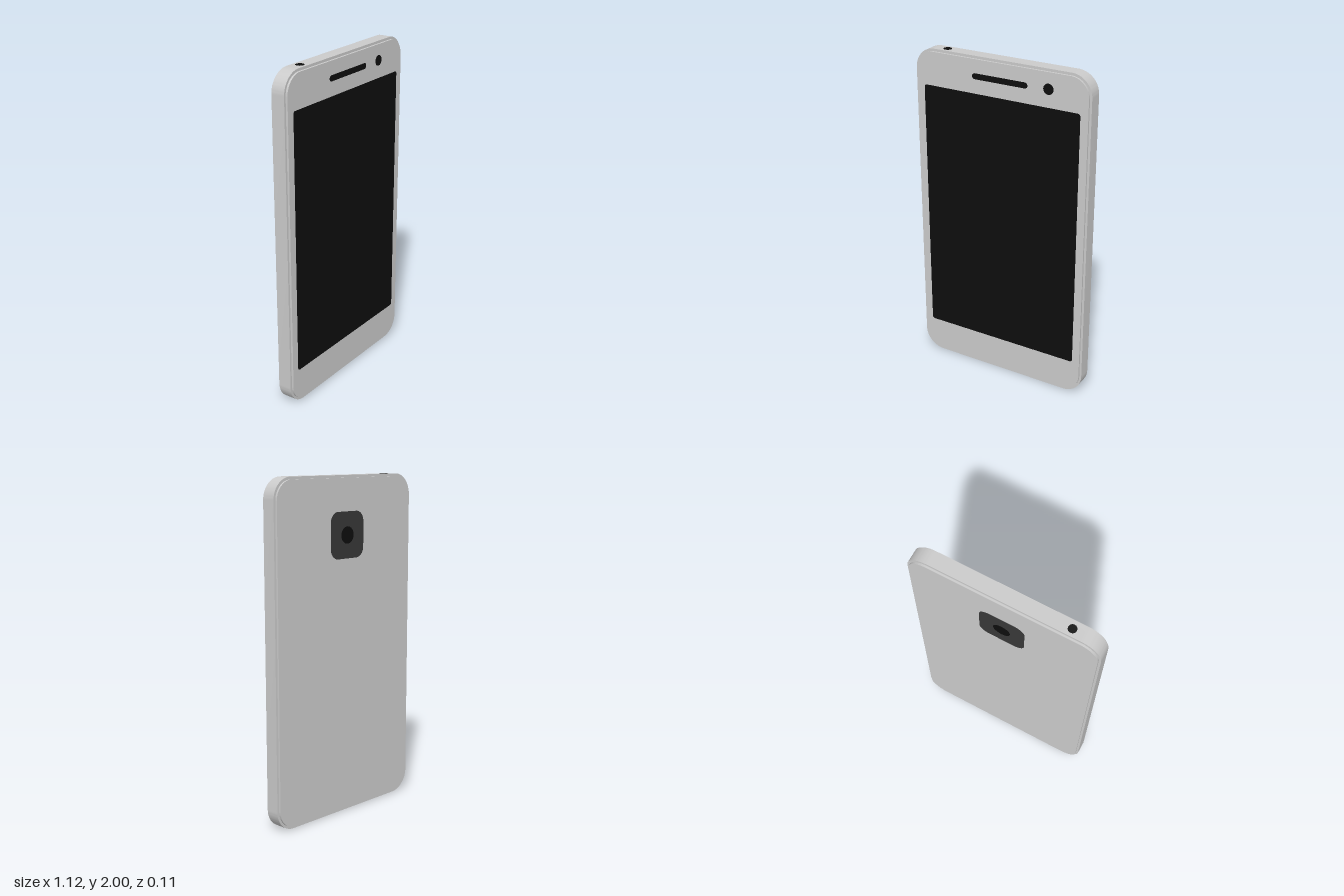
import * as THREE from 'three';
import { toCreasedNormals } from 'three/addons/utils/BufferGeometryUtils.js';

const material = (name, color) => {
  const m = new THREE.MeshStandardMaterial({ color });
  m.name = name;
  return m;
};

// Rounded rectangle centred on the origin
function roundedRect(w, h, r) {
  const s = new THREE.Shape(), x = w / 2 - r, y = h / 2 - r;
  s.absarc(x, y, r, 0, Math.PI / 2);
  s.absarc(-x, y, r, Math.PI / 2, Math.PI);
  s.absarc(-x, -y, r, Math.PI, Math.PI * 1.5);
  s.absarc(x, -y, r, Math.PI * 1.5, Math.PI * 2);
  s.closePath();
  return s;
}

// Rounded slab centred on its own depth, with smooth corners and sharp rims
function slab(name, mat, w, h, r, depth) {
  const geo = new THREE.ExtrudeGeometry(roundedRect(w, h, r), { depth, bevelEnabled: false, curveSegments: 12 });
  geo.translate(0, 0, -depth / 2);
  const mesh = new THREE.Mesh(toCreasedNormals(geo, 0.6), mat);
  mesh.name = name;
  return mesh;
}

export function createModel() {
  const silver = material('silver body', 0xcacaca);
  const black = material('black glass', 0x0d0d0d);
  const charcoal = material('charcoal camera plate', 0x383838);
  const phone = new THREE.Group();
  phone.name = 'phone';
  const T = 0.003; // thickness of inlaid details
  const F = 0.053; // half depth of the body

  const add = (mesh, x, y, z, rx = 0) => {
    mesh.position.set(x, y, z);
    mesh.rotation.x = rx;
    phone.add(mesh);
  };

  // Body: outer band with slightly smaller front and back covers
  add(slab('sideBand', silver, 1.12, 2, 0.125, 0.082), 0, 1, 0);
  for (const side of [1, -1]) {
    add(slab(side > 0 ? 'frontCover' : 'backCover', silver, 1.094, 1.97, 0.112, 0.014), 0, 1, side * (F - 0.007));
  }

  // Front details
  add(slab('screen', black, 1, 1.565, 0.015, T), 0, 1.0025, F);
  add(slab('earpiece', black, 0.352, 0.034, 0.0165, T), 0, 1.887, F);
  add(slab('frontCamera', black, 0.062, 0.062, 0.0309, T), 0.305, 1.89, F);

  // Rear camera
  add(slab('rearCameraPlate', charcoal, 0.27, 0.27, 0.06, T), 0, 1.66, -F);
  add(slab('rearCameraLens', black, 0.1, 0.1, 0.0499, T), 0, 1.66, -F - 0.0015);

  // Sockets on the top and bottom edges
  add(slab('headphoneSocket', black, 0.048, 0.048, 0.0239, T), -0.37, 2, 0, -Math.PI / 2);
  add(slab('chargingPort', black, 0.12, 0.032, 0.0155, T), 0, 0, 0, Math.PI / 2);

  return phone;
}
